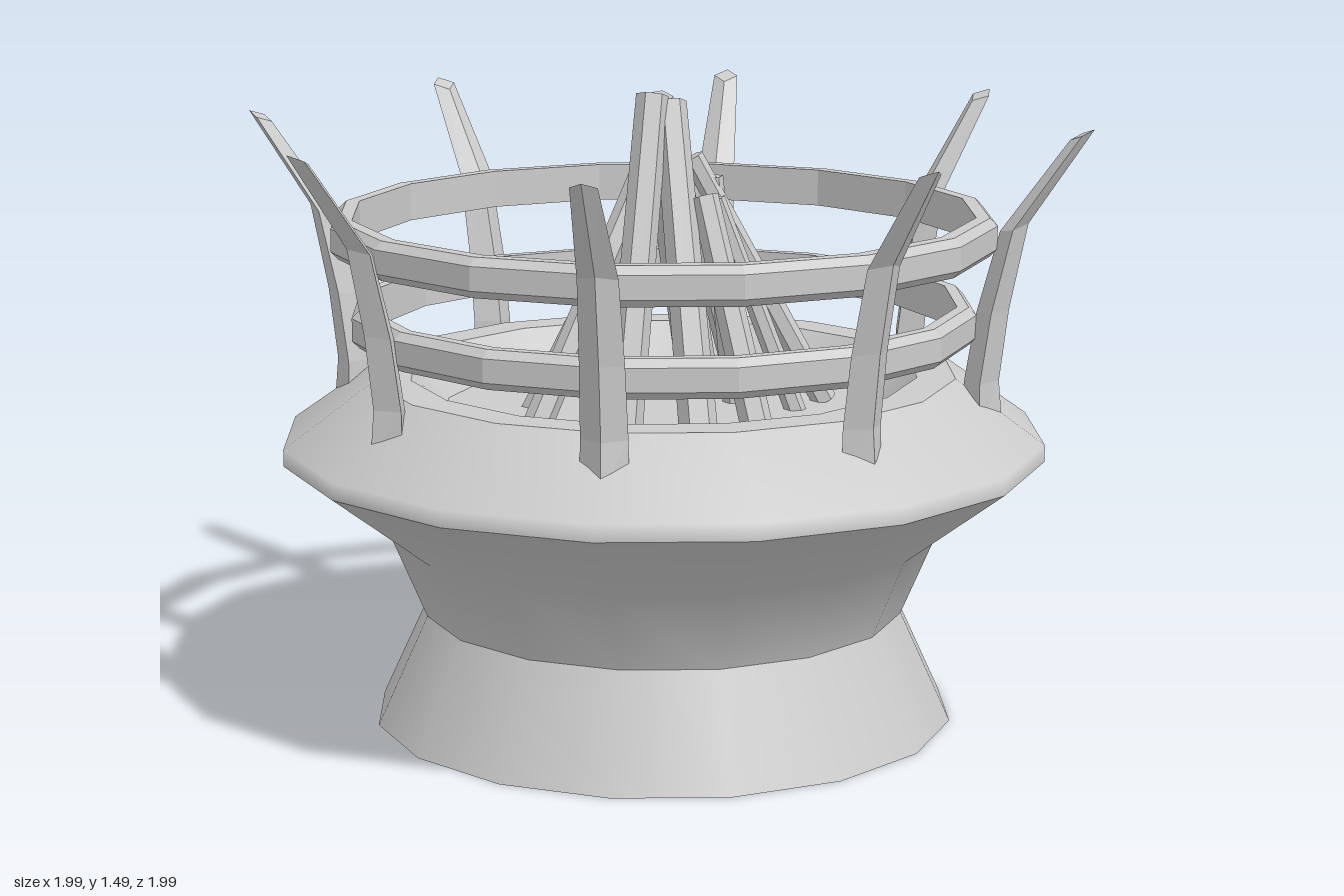
import * as THREE from 'three';

const SIDES = 16;
const smooth = new THREE.MeshStandardMaterial({ color: 0xcccccc, side: THREE.DoubleSide });
const faceted = new THREE.MeshStandardMaterial({ color: 0xcccccc, flatShading: true });

function addMesh(parent, name, geometry, material) {
  const mesh = new THREE.Mesh(geometry, material);
  mesh.name = name;
  parent.add(mesh);
  return mesh;
}

const lathe = (points) =>
  new THREE.LatheGeometry(points.map(([r, y]) => new THREE.Vector2(r, y)), SIDES);

// Ring bar with bevelled outer edges
function railGeometry(inner, outer, bottom, top) {
  const b = 0.018;
  return lathe([
    [inner, bottom], [outer - b, bottom], [outer, bottom + b], [outer, top - b],
    [outer - b, top], [inner, top], [inner, bottom],
  ]);
}

// Post swept outward along +x, with a diamond cross-section
function postGeometry() {
  // outer radius, outer y, inner radius, inner y, half width
  const sections = [
    [0.80, 0.72, 0.70, 0.72, 0.055],
    [0.79, 0.83, 0.71, 0.83, 0.053],
    [0.81, 1.00, 0.735, 0.99, 0.05],
    [0.85, 1.20, 0.785, 1.18, 0.045],
    [0.995, 1.42, 0.94, 1.395, 0.03],
  ];
  const positions = [];
  const index = [];
  for (const [ro, yo, ri, yi, w] of sections) {
    const r = (ro + ri) / 2, y = (yo + yi) / 2;
    positions.push(ro, yo, 0, r, y, w, ri, yi, 0, r, y, -w);
  }
  for (let s = 0; s < sections.length - 1; s++) {
    for (let k = 0; k < 4; k++) {
      const a = s * 4 + k, b = s * 4 + (k + 1) % 4;
      index.push(a, a + 4, b, b, a + 4, b + 4);
    }
  }
  const t = (sections.length - 1) * 4;
  index.push(t, t + 2, t + 1, t, t + 3, t + 2, 0, 1, 2, 0, 2, 3);
  const geometry = new THREE.BufferGeometry();
  geometry.setAttribute('position', new THREE.Float32BufferAttribute(positions, 3));
  geometry.setIndex(index);
  geometry.computeVertexNormals();
  return geometry;
}

// Straight log between two points
function addLog(parent, bottom, top, radius) {
  const a = new THREE.Vector3(...bottom), b = new THREE.Vector3(...top);
  const dir = b.clone().sub(a);
  const geometry = new THREE.CylinderGeometry(radius * 0.85, radius, dir.length(), 6);
  const log = addMesh(parent, 'log', geometry, faceted);
  log.position.copy(a).add(b).multiplyScalar(0.5);
  log.quaternion.setFromUnitVectors(new THREE.Vector3(0, 1, 0), dir.normalize());
}

export function createModel() {
  const model = new THREE.Group();
  model.name = 'fireBrazier';

  // Turned body, split wherever an edge is sharp
  const body = new THREE.Group();
  body.name = 'body';
  model.add(body);
  const parts = {
    foot: [[0.69, 0], [0.57, 0.26]],
    bowl: [[0.57, 0.26], [0.65, 0.45], [0.9, 0.64]],
    shoulder: [[0.9, 0.64], [0.9, 0.68], [0.69, 0.83]],
    rim: [[0.69, 0.83], [0.6, 0.83]],
    innerWall: [[0.6, 0.83], [0.52, 0.74]],
    floor: [[0.52, 0.74], [0, 0.74]],
  };
  for (const [name, points] of Object.entries(parts)) addMesh(body, name, lathe(points), smooth);

  // Guard rails
  addMesh(model, 'lowerRail', railGeometry(0.69, 0.735, 0.91, 1.0), faceted);
  addMesh(model, 'upperRail', railGeometry(0.73, 0.78, 1.12, 1.21), faceted);

  // Eight flared posts
  const post = postGeometry();
  for (let i = 0; i < 8; i++) {
    addMesh(model, 'post', post, faceted).rotation.y = (i * Math.PI) / 4;
  }

  // Stacked firewood: bottom, top, radius
  const wood = new THREE.Group();
  wood.name = 'firewood';
  model.add(wood);
  const logs = [
    [[-0.25, 0.56, 0.17], [-0.03, 1.48, 0.0], 0.045],
    [[0.27, 0.72, -0.23], [0.02, 1.46, -0.06], 0.05],
    [[-0.09, 0.72, 0.27], [0.02, 1.46, 0.0], 0.045],
    [[-0.35, 0.72, -0.02], [-0.01, 1.36, -0.02], 0.035],
    [[-0.26, 0.72, -0.18], [0.02, 1.4, 0.01], 0.025],
    [[-0.09, 0.72, -0.33], [0.02, 1.24, -0.1], 0.035],
    [[0.02, 0.72, -0.3], [0.04, 1.38, -0.06], 0.035],
    [[0.11, 0.72, -0.35], [0.05, 1.12, -0.22], 0.025],
    [[0.3, 0.72, -0.11], [0.06, 1.3, -0.02], 0.025],
    [[0.35, 0.74, 0.17], [0.07, 1.33, 0.02], 0.03],
    [[0.24, 0.72, 0.21], [0.08, 1.24, 0.1], 0.025],
    [[0.05, 0.72, 0.31], [0.04, 1.25, 0.11], 0.038],
    [[0.17, 0.72, 0.06], [0.12, 1.28, 0.03], 0.03],
  ];
  for (const [bottom, top, radius] of logs) addLog(wood, bottom, top, radius);

  return model;
}
